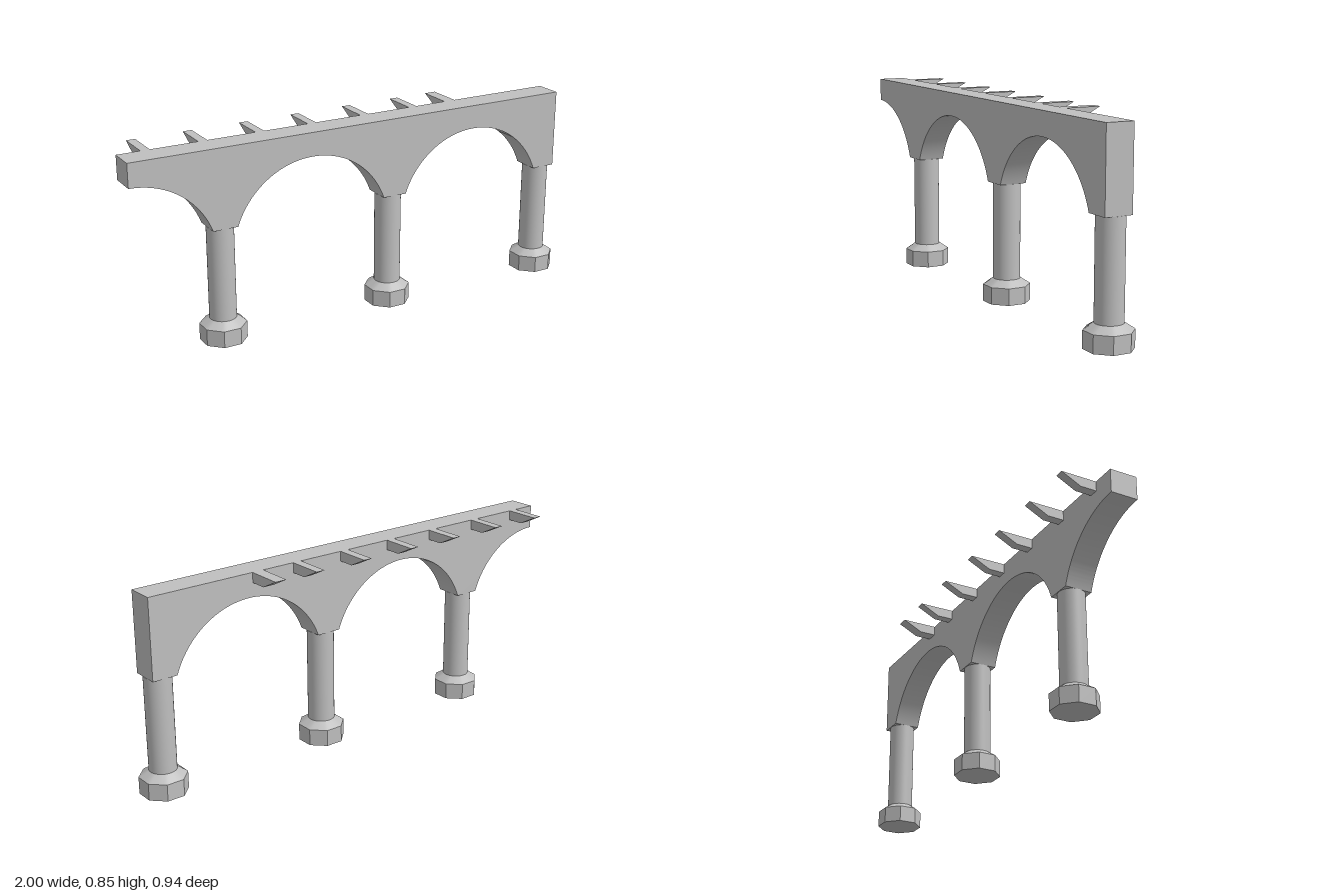
import * as THREE from 'three';
import { toCreasedNormals } from 'three/addons/utils/BufferGeometryUtils.js';

const stone = new THREE.MeshStandardMaterial({ color: 0xbfbfbf });
stone.name = 'stone grey';

const SPACING = 0.7985, THICK = 0.12, TOP = 0.853, SPRING = 0.508, CROWN = 0.75;
const LEG = 0.055;                              // half width of the wall above a column
const HALF_SPAN = SPACING / 2 - LEG;
const RISE = CROWN - SPRING;
const ARC_R = (HALF_SPAN ** 2 + RISE ** 2) / (2 * RISE);
const ARC_Y = CROWN - ARC_R;
const ARC_A = Math.atan2(SPRING - ARC_Y, HALF_SPAN);

function addMesh(parent, geometry, name, x = 0, y = 0, z = 0) {
  const mesh = new THREE.Mesh(geometry, stone);
  mesh.name = name;
  mesh.position.set(x, y, z);
  parent.add(mesh);
  return mesh;
}

function extrude(shape, depth) {
  const g = new THREE.ExtrudeGeometry(shape, { depth, bevelEnabled: false, curveSegments: 32 });
  g.translate(0, 0, -depth / 2);
  return toCreasedNormals(g, 0.4);
}

// Wall with one half arch at the left end and two full arches
function wallGeometry() {
  const left = -1.5 * SPACING, right = SPACING + LEG;
  const s = new THREE.Shape();
  s.moveTo(left, TOP);
  s.lineTo(left, CROWN);
  s.absarc(left, ARC_Y, ARC_R, Math.PI / 2, ARC_A, true);
  for (const mid of [-SPACING / 2, SPACING / 2]) {
    s.lineTo(mid - HALF_SPAN, SPRING);
    s.absarc(mid, ARC_Y, ARC_R, Math.PI - ARC_A, ARC_A, true);
  }
  s.lineTo(right, SPRING);
  s.lineTo(right, TOP);
  return extrude(s, THICK);
}

// Bracket profile: flat top, slanted nose underneath, reaching out backwards
function bracketGeometry(width) {
  const s = new THREE.Shape();
  s.moveTo(0.055, 0.81);
  s.lineTo(0.132, 0.81);
  s.lineTo(0.217, TOP);
  s.lineTo(0.055, TOP);
  return extrude(s, width).rotateY(Math.PI / 2);
}

// Collar blending from the octagonal base to the round shaft
function collarGeometry() {
  const g = new THREE.CylinderGeometry(0.0575, 0.1, 0.027, 48, 1, true);
  const p = g.attributes.position;
  const step = Math.PI / 4;
  for (let i = 0; i < p.count; i++) {
    if (p.getY(i) > 0) continue;
    const a = Math.atan2(p.getX(i), p.getZ(i)) + Math.PI * 2;
    const off = ((a + step / 2) % step) - step / 2;
    const k = Math.cos(step / 2) / Math.cos(off);
    p.setX(i, p.getX(i) * k);
    p.setZ(i, p.getZ(i) * k);
  }
  return toCreasedNormals(g, 0.6);
}

function column() {
  const c = new THREE.Group();
  c.name = 'column';
  const base = new THREE.CylinderGeometry(0.1, 0.1, 0.073, 8).rotateY(Math.PI / 8);
  addMesh(c, toCreasedNormals(base, 0.4), 'octagonalBase', 0, 0.0365);
  addMesh(c, collarGeometry(), 'collar', 0, 0.0865);
  addMesh(c, new THREE.CylinderGeometry(0.0575, 0.0575, SPRING - 0.1, 48), 'shaft', 0, (SPRING + 0.1) / 2);
  return c;
}

export function createModel() {
  const model = new THREE.Group();
  model.name = 'archedWall';

  // Everything is built along x, then turned about the middle column
  const arcade = new THREE.Group();
  arcade.name = 'arcade';
  arcade.position.set(0.147, 0, 0.1);
  arcade.rotation.y = -THREE.MathUtils.degToRad(19.47);
  model.add(arcade);

  addMesh(arcade, wallGeometry(), 'wall');

  for (const i of [-1, 0, 1]) {
    const c = column();
    c.position.x = i * SPACING;
    arcade.add(c);
  }

  // Brackets along the back; the last one is wider
  [-1.077, -0.832, -0.579, -0.338, -0.085, 0.159, 0.352].forEach((x, i) => {
    addMesh(arcade, bracketGeometry(i === 6 ? 0.052 : 0.039), 'bracket', x);
  });

  return model;
}
